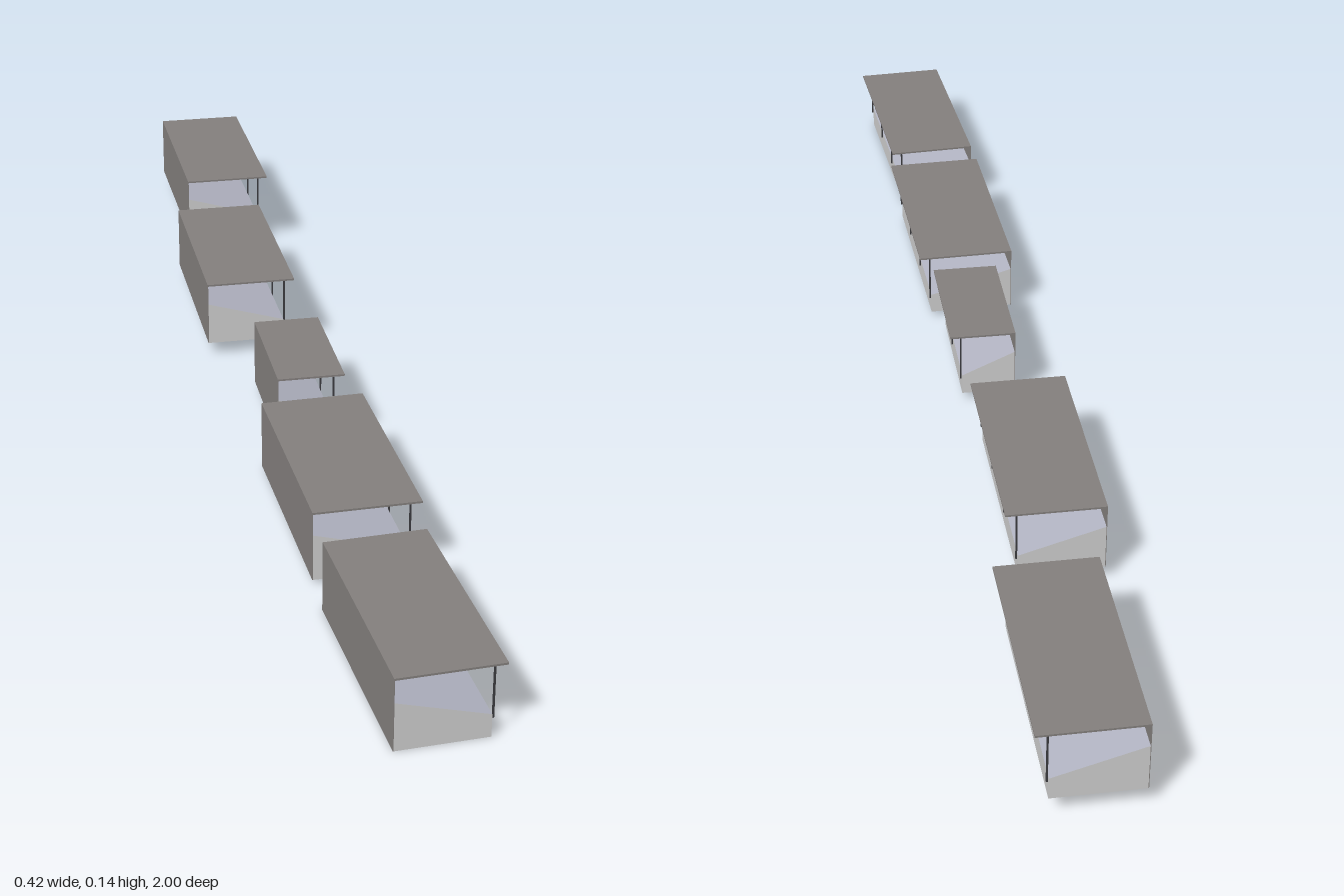
import * as THREE from 'three';

const mat = (color) => new THREE.MeshStandardMaterial({ color, side: THREE.DoubleSide, flatShading: true });
const shell = mat(0xcccccc), seating = mat(0xb0b2c0), cladding = mat(0x827e7c), steel = mat(0x3a3a3e);

const ROOF_Y = 0.1065, ROOF_T = 0.003, OVERHANG = 0.019;
const FRONT_H = 0.034, BACK_H = 0.072, WALL_T = 0.001;

// x, z, base height, heading in degrees, length, roof depth, number of posts
const STANDS = [
  [0.1045, 0.8175, 0, 11, 0.343, 0.149, 4],
  [0.0395, 0.412, 0.008, 9.25, 0.348, 0.159, 4],
  [0, 0.074, 0.016, 7.3, 0.218, 0.106, 3],
  [-0.089, -0.348, 0.023, 7.6, 0.347, 0.149, 4],
  [-0.115, -0.8175, 0.03, 7.7, 0.346, 0.15, 4],
];

function add(group, name, geometry, material, x = 0, y = 0, z = 0) {
  const mesh = new THREE.Mesh(geometry, material);
  mesh.name = name;
  mesh.position.set(x, y, z);
  group.add(mesh);
}

// Flat panel through four corners, counter-clockwise seen from its front
function panel(...corners) {
  const g = new THREE.BufferGeometry();
  g.setAttribute('position', new THREE.Float32BufferAttribute(corners.flat(), 3));
  g.setIndex([0, 1, 2, 0, 2, 3]);
  g.computeVertexNormals();
  return g;
}

// One covered stand: spectators face local +x, rows run along z
function createStand(length, depth, posts) {
  const stand = new THREE.Group();
  const b = -depth / 2 + WALL_T, f = depth / 2 - OVERHANG, h = length / 2;

  // Hollow wedge base, open underneath
  add(stand, 'frontWall', panel([f, 0, h], [f, 0, -h], [f, FRONT_H, -h], [f, FRONT_H, h]), shell);
  add(stand, 'baseBack', panel([b, 0, -h], [b, 0, h], [b, BACK_H, h], [b, BACK_H, -h]), shell);
  add(stand, 'leftEnd', panel([b, 0, h], [f, 0, h], [f, FRONT_H, h], [b, BACK_H, h]), shell);
  add(stand, 'rightEnd', panel([f, 0, -h], [b, 0, -h], [b, BACK_H, -h], [f, FRONT_H, -h]), shell);

  // Sloping seating deck
  add(stand, 'seatingDeck', panel([b, BACK_H, h], [f, FRONT_H, h], [f, FRONT_H, -h], [b, BACK_H, -h]), seating);

  // Full-height back wall and flat roof
  add(stand, 'backWall', new THREE.BoxGeometry(WALL_T, ROOF_Y, length), cladding, b - WALL_T / 2, ROOF_Y / 2);
  add(stand, 'roof', new THREE.BoxGeometry(depth, ROOF_T, length), cladding, 0, ROOF_Y);

  // Slim posts fixed to the front wall
  const foot = 0.027, tall = ROOF_Y - foot;
  for (let i = 0; i < posts; i++) {
    const z = (h - 0.003) * (1 - (2 * i) / (posts - 1));
    add(stand, 'roofPost', new THREE.BoxGeometry(0.0025, tall, 0.0025), steel, f + 0.002, foot + tall / 2, z);
  }
  return stand;
}

export function createModel() {
  const model = new THREE.Group();
  model.name = 'grandstands';
  STANDS.forEach(([x, z, base, heading, length, depth, posts], i) => {
    const stand = createStand(length, depth, posts);
    stand.name = `stand${i + 1}`;
    stand.position.set(x, base, z);
    stand.rotation.y = THREE.MathUtils.degToRad(heading);
    model.add(stand);
  });
  return model;
}
